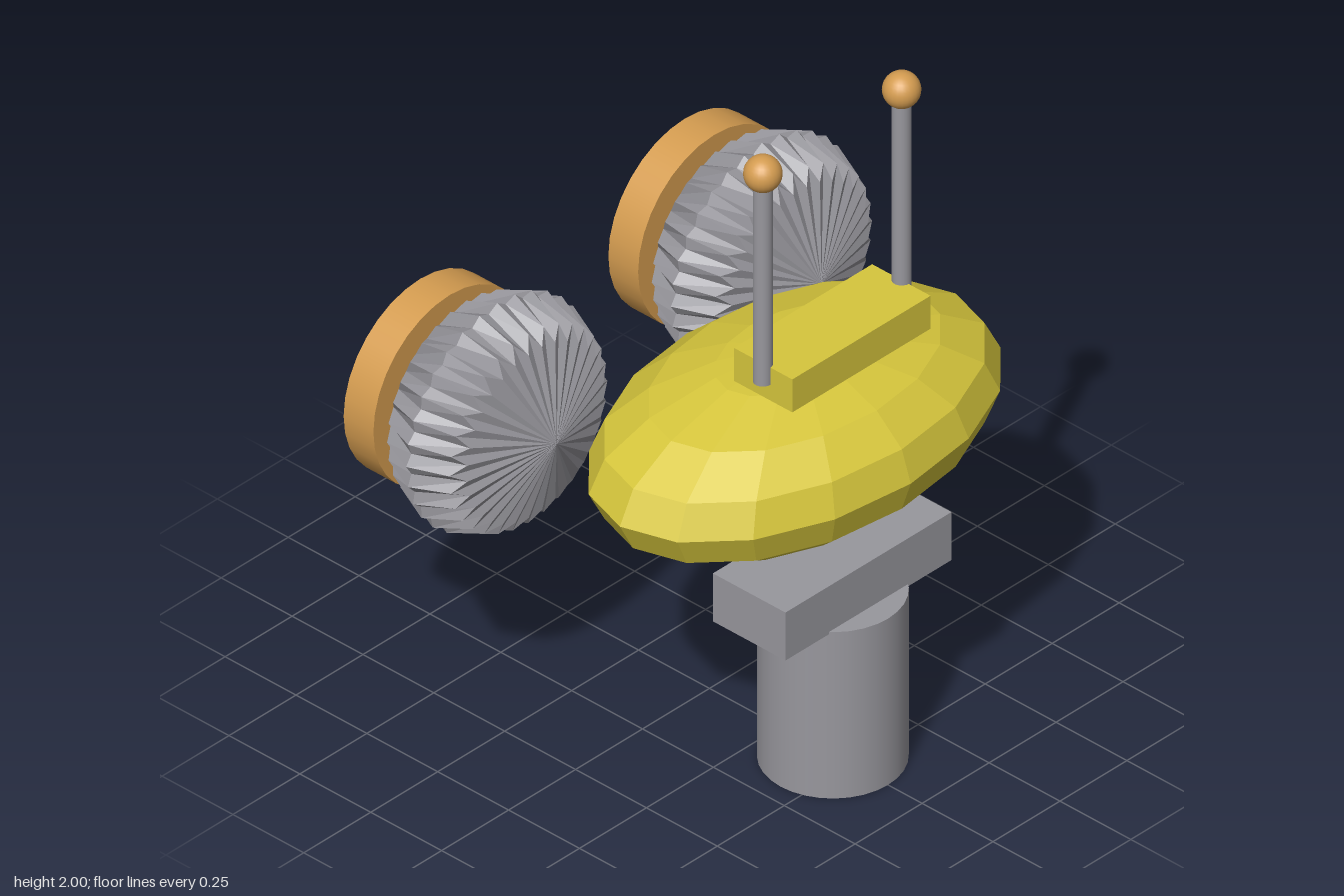
import * as THREE from 'three';

const paint = (name, color) => {
  const m = new THREE.MeshStandardMaterial({ color });
  m.name = name;
  return m;
};

// Give every face its own flat normal
function faceted(geometry) {
  const g = geometry.toNonIndexed();
  g.computeVertexNormals();
  return g;
}

// Ribbed lens around z: rings of alternating peaks and valleys, a cone at each end
function ribbedLens(ribs) {
  const n = ribs * 2;
  // each ring: [peak radius, peak z, valley radius, valley z]
  const rings = [
    [0, -0.21, 0, -0.21],
    [0.295, -0.11, 0.255, -0.135],
    [0.34, 0, 0.322, 0],
    [0.295, 0.11, 0.255, 0.135],
    [0, 0.21, 0, 0.21],
  ];
  const pos = [], idx = [];
  for (const [pr, pz, vr, vz] of rings) {
    for (let j = 0; j < n; j++) {
      const a = (j / n) * Math.PI * 2;
      const r = j % 2 ? vr : pr;
      pos.push(r * Math.cos(a), r * Math.sin(a), j % 2 ? vz : pz);
    }
  }
  for (let i = 0; i < rings.length - 1; i++) {
    for (let j = 0; j < n; j++) {
      const k = (j + 1) % n;
      const a = i * n + j, b = i * n + k, c = b + n, d = a + n;
      if (i > 0) idx.push(a, b, d);
      if (i < rings.length - 2) idx.push(b, c, d);
      if (i === 0) idx.push(a, c, d);
    }
  }
  const g = new THREE.BufferGeometry();
  g.setAttribute('position', new THREE.Float32BufferAttribute(pos, 3));
  g.setIndex(idx);
  return faceted(g);
}

export function createModel() {
  const yellow = paint('yellow', 0xd6c63c);
  const grey = paint('grey', 0x98979d);
  const gold = paint('gold', 0xd49c50);
  const black = paint('black', 0x2c2c2c);

  const model = new THREE.Group();
  model.name = 'model';
  const add = (name, geometry, material, x, y, z) => {
    const mesh = new THREE.Mesh(geometry, material);
    mesh.name = name;
    mesh.position.set(x, y, z);
    model.add(mesh);
    return mesh;
  };

  // Pedestal
  add('post', new THREE.CylinderGeometry(0.195, 0.195, 0.52, 32), grey, 0, 0.26, 0.435);
  add('postBlock', new THREE.BoxGeometry(0.62, 0.15, 0.256), grey, 0, 0.588, 0.433);

  // Faceted oval body and the bar floating above it
  const oval = new THREE.SphereGeometry(1, 16, 8).scale(0.652, 0.242, 0.41);
  add('body', faceted(oval), yellow, 0, 0.98, 0.3);
  add('topBar', new THREE.BoxGeometry(0.516, 0.103, 0.206), yellow, 0, 1.302, 0.433);

  // Mirrored antennas and rear thrusters
  const lens = ribbedLens(32);
  const disc = new THREE.CylinderGeometry(0.285, 0.285, 0.105, 32).rotateX(Math.PI / 2);
  const nozzle = new THREE.SphereGeometry(0.129, 32, 20);
  const rod = new THREE.CylinderGeometry(0.026, 0.026, 0.65, 20);
  const tip = new THREE.SphereGeometry(0.051, 24, 16);
  for (const [side, s] of [['left', 1], ['right', -1]]) {
    add(side + 'AntennaRod', rod, grey, s * 0.259, 1.625, 0.433);
    add(side + 'AntennaTip', tip, gold, s * 0.259, 1.949, 0.433);
    add(side + 'RibbedWheel', lens, grey, s * 0.494, 0.98, -0.282);
    add(side + 'Disc', disc, gold, s * 0.494, 0.98, -0.502);
    add(side + 'NozzleBall', nozzle, black, s * 0.494, 0.98, -0.58);
  }
  return model;
}
